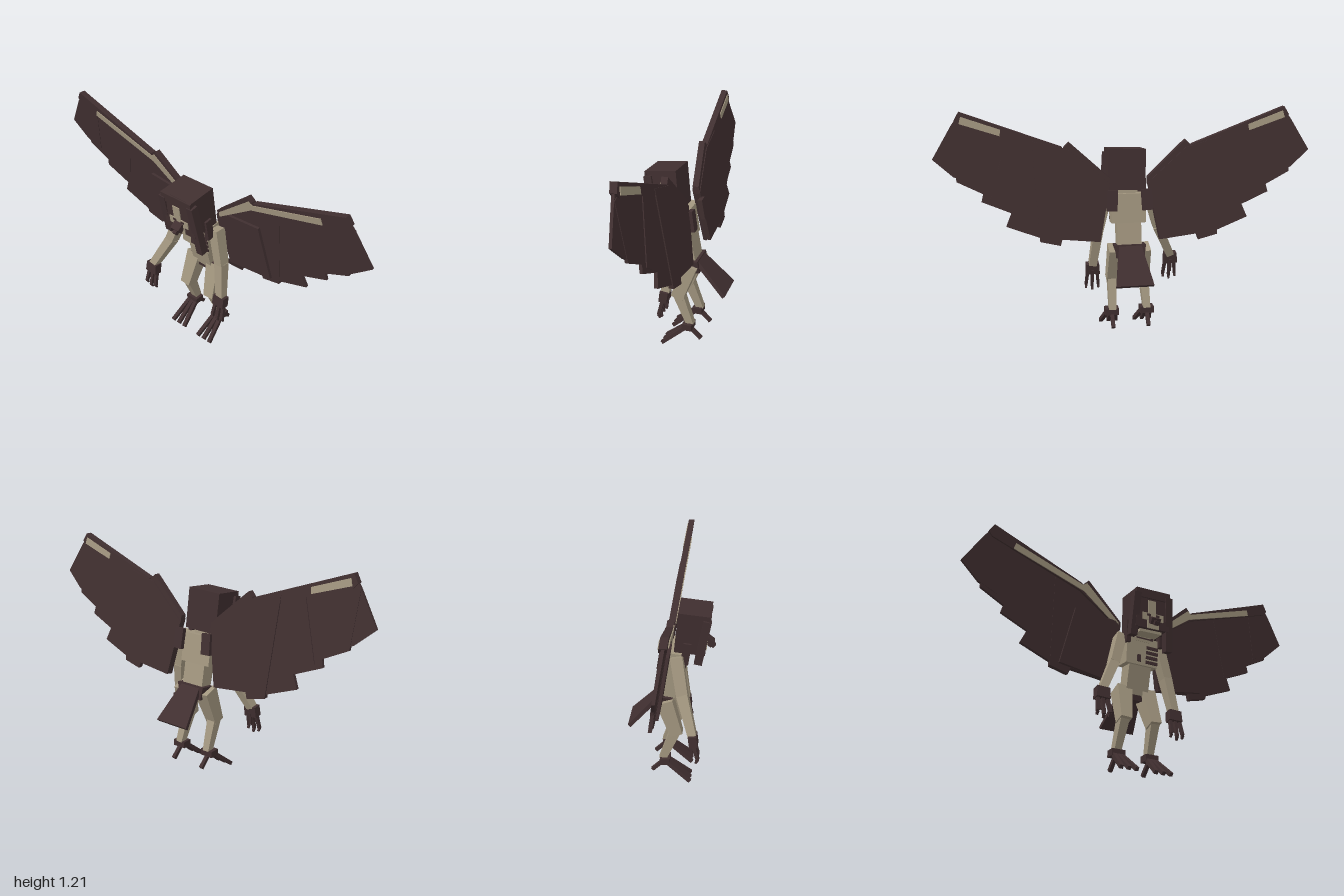
import * as THREE from 'three';

const dark = new THREE.MeshStandardMaterial({ color: 0x402f30 });
dark.name = 'dark brown plumage';
const tan = new THREE.MeshStandardMaterial({ color: 0xa2967f });
tan.name = 'tan skin';

export function createModel() {
  const model = new THREE.Group();
  model.name = 'wingedCreature';

  const group = (name, parent = model) => {
    const g = new THREE.Group();
    g.name = name;
    parent.add(g);
    return g;
  };
  const add = (name, geometry, material, parent) => {
    const m = new THREE.Mesh(geometry, material);
    m.name = name;
    parent.add(m);
    return m;
  };
  const box = (name, size, pos, material, parent) => {
    const m = add(name, new THREE.BoxGeometry(...size), material, parent);
    m.position.set(...pos);
    return m;
  };
  // Tapered bar from a to b; [width, depth] at each end, width kept along x
  const bar = (name, a, b, sizeA, sizeB, material, parent) => {
    const A = new THREE.Vector3(...a), B = new THREE.Vector3(...b);
    const Y = B.clone().sub(A), len = Y.length();
    Y.normalize();
    const X = new THREE.Vector3(1, 0, 0).addScaledVector(Y, -Y.x).normalize();
    const Z = X.clone().cross(Y);
    const geo = new THREE.BoxGeometry(1, len, 1);
    const p = geo.attributes.position;
    for (let i = 0; i < p.count; i++) {
      const s = p.getY(i) < 0 ? sizeA : sizeB;
      p.setX(i, p.getX(i) * s[0]);
      p.setZ(i, p.getZ(i) * s[1]);
    }
    geo.applyMatrix4(new THREE.Matrix4().makeBasis(X, Y, Z).setPosition(A.add(B).multiplyScalar(0.5)));
    geo.computeVertexNormals();
    return add(name, geo, material, parent);
  };

  // Torso, leaning back towards the hips
  const torso = group('torso');
  bar('neck', [0, 0.75, 0.05], [0, 0.82, 0.06], [0.09, 0.06], [0.09, 0.06], tan, torso);
  bar('chest', [0, 0.62, 0.015], [0, 0.775, 0.035], [0.185, 0.1], [0.185, 0.09], tan, torso);
  bar('waist', [0, 0.47, -0.025], [0, 0.63, 0.01], [0.13, 0.075], [0.13, 0.085], tan, torso);
  bar('hips', [0, 0.44, -0.04], [0, 0.51, -0.03], [0.15, 0.085], [0.17, 0.085], dark, torso);
  for (let i = 0; i < 4; i++)
    box('chestStripe', [0.07, 0.017, 0.006], [0.058, 0.635 + i * 0.027, 0.068 + i * 0.0035], dark, torso);
  box('chestMark', [0.022, 0.04, 0.006], [-0.018, 0.65, 0.07], dark, torso);
  box('collarMark', [0.1, 0.015, 0.006], [0.01, 0.768, 0.08], dark, torso);
  for (const s of [-1, 1])
    bar('shoulderBlade', [s * 0.095, 0.7, -0.057], [s * 0.09, 0.81, -0.04], [0.055, 0.025], [0.055, 0.025], dark, torso);

  // Flat tail fan
  bar('tail', [0, 0.505, -0.06], [0, 0.335, -0.225], [0.12, 0.025], [0.2, 0.02], dark, model);

  // Head: hair block with a face on its front and hanging locks
  const head = group('head');
  head.position.set(0, 0.895, 0.11);
  head.rotation.set(0.1, 0, 0.04);
  box('hair', [0.2, 0.22, 0.162], [0, 0, 0], dark, head);
  box('fringe', [0.204, 0.05, 0.012], [0, 0.084, 0.083], dark, head);
  box('brow', [0.046, 0.08, 0.006], [-0.008, 0.008, 0.083], tan, head);
  box('cheeks', [0.125, 0.04, 0.006], [0, -0.045, 0.083], tan, head);
  box('chin', [0.07, 0.045, 0.006], [0, -0.088, 0.083], tan, head);
  box('jaw', [0.13, 0.02, 0.1], [0, -0.115, 0.01], tan, head);
  for (const s of [-1, 1])
    box('eye', [0.022, 0.012, 0.006], [s * 0.027, -0.036, 0.085], dark, head);
  const beak = box('beak', [0.055, 0.035, 0.045], [0, -0.068, 0.095], dark, head);
  beak.rotation.x = 0.55;
  const beakTip = box('beakTip', [0.024, 0.024, 0.024], [0, -0.088, 0.115], dark, head);
  beakTip.rotation.x = 0.55;
  const frontLock = { '-1': -0.155, '1': -0.215 };
  for (const s of [-1, 1]) {
    bar('frontLock', [s * 0.106, frontLock[s], 0.05], [s * 0.094, 0.085, 0.072], [0.04, 0.042], [0.04, 0.042], dark, head);
    bar('sideLock', [s * 0.1, -0.17, -0.02], [s * 0.1, -0.05, -0.015], [0.025, 0.042], [0.025, 0.042], dark, head);
  }

  // Arms, posed differently on each side
  const arms = {
    right: { shoulder: [-0.115, 0.77, 0.035], elbow: [-0.172, 0.58, 0.07], wrist: [-0.262, 0.39, 0.13], lean: 0.025 },
    left: { shoulder: [0.115, 0.77, 0.03], elbow: [0.16, 0.57, 0.04], wrist: [0.188, 0.37, 0.07], lean: 0.025 },
  };
  for (const [side, a] of Object.entries(arms)) {
    const arm = group(side + 'Arm');
    bar('upperArm', a.elbow, a.shoulder, [0.05, 0.06], [0.055, 0.065], tan, arm);
    bar('forearm', a.wrist, a.elbow, [0.042, 0.045], [0.05, 0.06], tan, arm);
    const [x, y, z] = a.wrist;
    bar('palm', [x - 0.002, y - 0.05, z + 0.008], [x, y + 0.01, z], [0.075, 0.045], [0.07, 0.045], dark, arm);
    for (let i = -1; i <= 1; i++) {
      const tip = [x + i * 0.034, y - 0.125 - (i ? 0 : 0.012), z + a.lean + 0.005];
      bar('finger', [x + i * 0.026, y - 0.04, z + 0.008], tip, [0.017, 0.02], [0.015, 0.017], dark, arm);
      bar('claw', tip, [tip[0], tip[1] - 0.018, tip[2] - 0.01], [0.013, 0.015], [0.01, 0.01], dark, arm);
    }
    bar('thumb', [x, y - 0.03, z - 0.012], [x, y - 0.1, z - 0.003], [0.015, 0.015], [0.014, 0.014], dark, arm);
  }

  // Bird legs with three front toes and one back toe
  for (const s of [-1, 1]) {
    const leg = group(s > 0 ? 'leftLeg' : 'rightLeg');
    bar('thigh', [s * 0.087, 0.295, 0.035], [s * 0.07, 0.49, -0.03], [0.062, 0.068], [0.085, 0.09], tan, leg);
    bar('shin', [s * 0.095, 0.14, -0.042], [s * 0.088, 0.31, 0.025], [0.038, 0.04], [0.05, 0.058], tan, leg);
    box('ankle', [0.075, 0.036, 0.055], [s * 0.097, 0.132, -0.028], dark, leg);
    for (let i = -1; i <= 1; i++)
      bar('toe', [s * 0.097 + i * 0.02, 0.128, -0.02], [s * 0.097 + i * 0.043, 0.02, 0.113], [0.022, 0.022], [0.02, 0.02], dark, leg);
    bar('backToe', [s * 0.097, 0.128, -0.03], [s * 0.097, 0.06, -0.1], [0.02, 0.02], [0.02, 0.02], dark, leg);
  }

  // Wings: overlapping flat plates sheared so the top leans forward
  const lean = new THREE.Matrix4().set(1, 0, 0, 0, 0, 1, 0, 0, 0, 0.15, 1, -0.137, 0, 0, 0, 1);
  const plates = [
    // name, back offset, thickness, material, outline
    ['innerFeathers', 0.004, 0.018, dark, [[0.1, 0.85], [0.13, 0.87], [0.37, 0.89], [0.43, 0.575], [0.16, 0.535]]],
    ['middleFeathers', -0.02, 0.026, dark, [[0.1, 0.84], [0.31, 1.02], [0.5, 1.07], [0.475, 0.555], [0.37, 0.53],
      [0.36, 0.562], [0.16, 0.54]]],
    ['outerFeathers', -0.014, 0.018, dark, [[0.3, 1.01], [0.62, 1.12], [0.72, 0.78], [0.615, 0.71], [0.645, 0.64],
      [0.47, 0.573], [0.4, 0.6]]],
    ['tipFeathers', -0.009, 0.015, dark, [[0.5, 1.07], [0.8, 1.18], [0.9, 1.155], [0.885, 0.875], [0.755, 0.81],
      [0.765, 0.77], [0.6, 0.7]]],
    ['wingTip', -0.006, 0.014, dark, [[0.75, 1.16], [0.86, 1.21], [0.9, 1.155], [1, 0.99], [0.9, 0.9], [0.8, 0.86]]],
    ['innerWingBone', -0.016, 0.034, dark, [[0.1, 0.83], [0.1, 0.87], [0.31, 1.06], [0.335, 1.035], [0.35, 0.99]]],
    ['outerWingBone', -0.017, 0.034, dark, [[0.33, 0.985], [0.345, 1.035], [0.86, 1.222], [0.885, 1.18], [0.865, 1.155]]],
    ['innerBoneStripe', 0.016, 0.006, tan, [[0.115, 0.835], [0.115, 0.865], [0.32, 1.04], [0.345, 1.022], [0.345, 1.0]]],
    ['outerBoneStripe', 0.016, 0.006, tan, [[0.335, 0.992], [0.345, 1.025], [0.735, 1.15], [0.745, 1.118]]],
    ['backStripe', -0.021, 0.006, tan, [[0.66, 1.1], [0.655, 1.132], [0.85, 1.2], [0.86, 1.165]]],
  ];
  for (const s of [-1, 1]) {
    const wing = group(s > 0 ? 'leftWing' : 'rightWing');
    for (const [name, offset, depth, material, outline] of plates) {
      const shape = new THREE.Shape(outline.map(([x, y]) => new THREE.Vector2(s * x, y)));
      const geo = new THREE.ExtrudeGeometry(shape, { depth, bevelEnabled: false });
      geo.translate(0, 0, offset).applyMatrix4(lean);
      geo.computeVertexNormals();
      add(name, geo, material, wing);
    }
  }
  return model;
}
